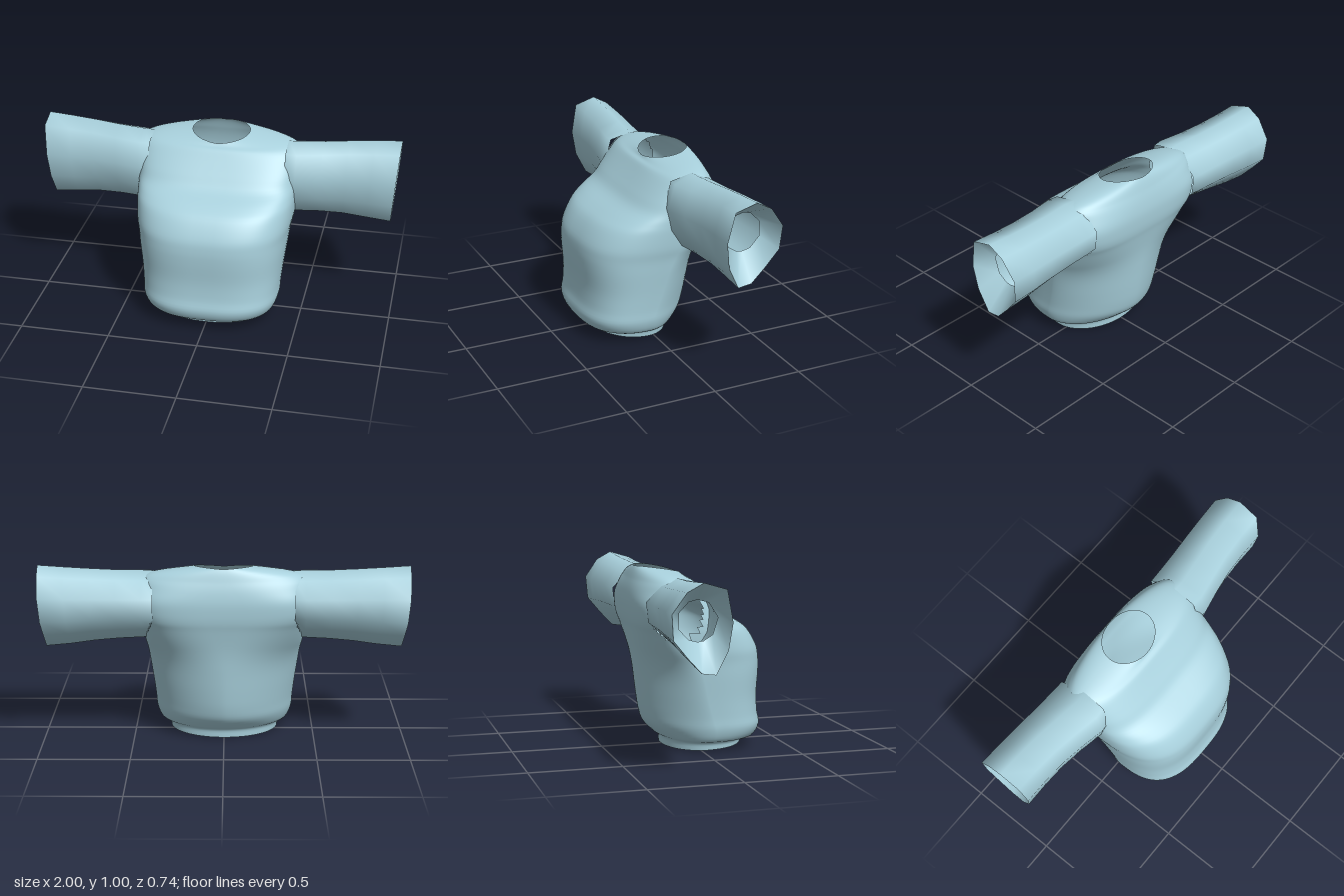
import * as THREE from 'three';

// Skin a list of equal-length closed rings; skip(centre) leaves a quad open
function loft(rings, skip = () => false) {
  const n = rings[0].length;
  const index = [];
  const centre = new THREE.Vector3();
  for (let r = 0; r < rings.length - 1; r++) {
    for (let i = 0; i < n; i++) {
      const k = (i + 1) % n;
      centre.copy(rings[r][i]).add(rings[r][k]).add(rings[r + 1][i]).add(rings[r + 1][k]).multiplyScalar(0.25);
      if (skip(centre)) continue;
      const a = r * n + i, b = r * n + k, c = a + n, d = b + n;
      index.push(a, c, b, b, c, d);
    }
  }
  const geometry = new THREE.BufferGeometry().setFromPoints(rings.flat());
  geometry.setIndex(index);
  geometry.computeVertexNormals();
  return geometry;
}

// Torso stations: height, half width, seam z, front z, back z, front and back squareness
const TORSO = [
  [0.00, 0.300, 0.05, 0.28, -0.16, 2.2, 2],
  [0.045, 0.31, 0.05, 0.29, -0.165, 2.2, 2],
  [0.07, 0.355, 0.05, 0.345, -0.20, 2.6, 1.85],
  [0.13, 0.380, 0.05, 0.37, -0.26, 2.8, 1.75],
  [0.20, 0.385, 0.03, 0.357, -0.285, 2.9, 1.7],
  [0.30, 0.395, 0.00, 0.352, -0.30, 2.9, 1.7],
  [0.42, 0.410, -0.03, 0.36, -0.312, 2.9, 1.75],
  [0.50, 0.420, -0.06, 0.36, -0.32, 2.9, 1.9],
  [0.57, 0.434, -0.09, 0.345, -0.33, 2.9, 2.2],
  [0.66, 0.442, -0.12, 0.29, -0.347, 2.9, 2.9],
  [0.71, 0.444, -0.14, 0.22, -0.358, 3.0, 3.5],
  [0.76, 0.445, -0.16, 0.125, -0.363, 3.3, 3.8],
  [0.82, 0.445, -0.17, 0.07, -0.363, 3.3, 3.8],
  [0.88, 0.445, -0.18, 0.02, -0.353, 3.0, 2.9],
  [0.93, 0.440, -0.19, -0.02, -0.338, 2.5, 2.2],
  [0.956, 0.37, -0.19, -0.045, -0.326, 2.1, 2],
  [0.98, 0.160, -0.185, -0.06, -0.31, 2, 2],
];

function torsoRings() {
  const steps = 4, sides = 96;
  const spline = new THREE.CubicInterpolant(TORSO.map((_, i) => i), TORSO.flat(), 7, []);
  const rings = [];
  for (let s = 0; s <= (TORSO.length - 1) * steps; s++) {
    const [y, hw, zc, zf, zb, nf, nb] = spline.evaluate(s / steps);
    const ring = [];
    for (let i = 0; i < sides; i++) {
      const a = (i / sides) * Math.PI * 2;
      const c = Math.cos(a), sn = Math.sin(a);
      const e = 2 / (sn > 0 ? nf : nb);
      const x = hw * Math.sign(c) * Math.abs(c) ** e;
      const reach = sn > 0 ? zf - zc : zc - zb;
      const z = zc + reach * Math.sign(sn) * Math.abs(sn) ** e;
      // the hem rises toward the front, the neckline dips there
      const hem = 0.02 * THREE.MathUtils.clamp((z + 0.16) / 0.44, 0, 1) * Math.max(0, 1 - y / 0.06);
      const neck = (0.014 * Math.abs(c) - 0.02 * sn) * THREE.MathUtils.smoothstep(y, 0.93, 0.98);
      ring.push(new THREE.Vector3(x, y + hem + neck, z));
    }
    rings.push(ring);
  }
  return rings;
}

// Faceted sleeve outline at the cuff, as [z, y]
const CUFF = [
  [-0.09, 0.965], [-0.21, 1.0], [-0.295, 0.955], [-0.37, 0.85], [-0.36, 0.72],
  [-0.285, 0.63], [-0.21, 0.55], [-0.135, 0.54], [-0.075, 0.66], [-0.055, 0.8],
];

// Cuff outline refitted to the given z and y limits
function sleeveRing(side, x, front, back, bottom, top, slant) {
  return CUFF.map(([z, y]) => {
    const u = (z + 0.37) / 0.315, v = (y - 0.54) / 0.46;
    return new THREE.Vector3(side * (x - slant * (1 - v)), bottom + v * (top - bottom), back + u * (front - back));
  });
}

// Sleeve stations: x, front z, back z, bottom y, top y, slant
const SLEEVE = [
  [0.38, -0.01, -0.34, 0.59, 0.962, 0],
  [0.44, -0.003, -0.342, 0.58, 0.965, 0],
  [0.58, -0.03, -0.348, 0.578, 0.97, 0.01],
  [0.72, -0.05, -0.357, 0.57, 0.98, 0.02],
  [0.86, -0.058, -0.365, 0.553, 0.99, 0.03],
  [1.00, -0.058, -0.37, 0.54, 1.0, 0.035],
];

export function createModel() {
  const group = new THREE.Group();
  const cloth = new THREE.MeshStandardMaterial({ color: 0xa8d0dc, side: THREE.DoubleSide });
  cloth.name = 'paleBlueCloth';
  const add = (geometry, name) => {
    const mesh = new THREE.Mesh(geometry, cloth);
    mesh.name = name;
    group.add(mesh);
  };

  // Body, open at hem, neck and armholes
  const inArmhole = (p) => Math.abs(p.x) > 0.39
    && ((p.y - 0.785) / 0.15) ** 2 + ((p.z + 0.185) / 0.135) ** 2 < 1;
  add(loft(torsoRings(), inArmhole), 'body');

  for (const [side, label] of [[1, 'left'], [-1, 'right']]) {
    // Outer sleeve
    const rings = SLEEVE.map((s) => sleeveRing(side, ...s));
    if (side < 0) rings.forEach((r) => r.reverse());
    add(loft(rings), label + 'Sleeve');

    // Lining drawn in from the cuff to a small wrist hole
    const rim = rings[rings.length - 1];
    const wrist = rim.map((p) => {
      const a = Math.atan2(p.y - 0.78, p.z + 0.21);
      return new THREE.Vector3(side * 0.87, 0.8 + 0.105 * Math.sin(a), -0.205 + 0.105 * Math.cos(a));
    });
    add(loft([rim, wrist]), label + 'CuffLining');
  }
  return group;
}
